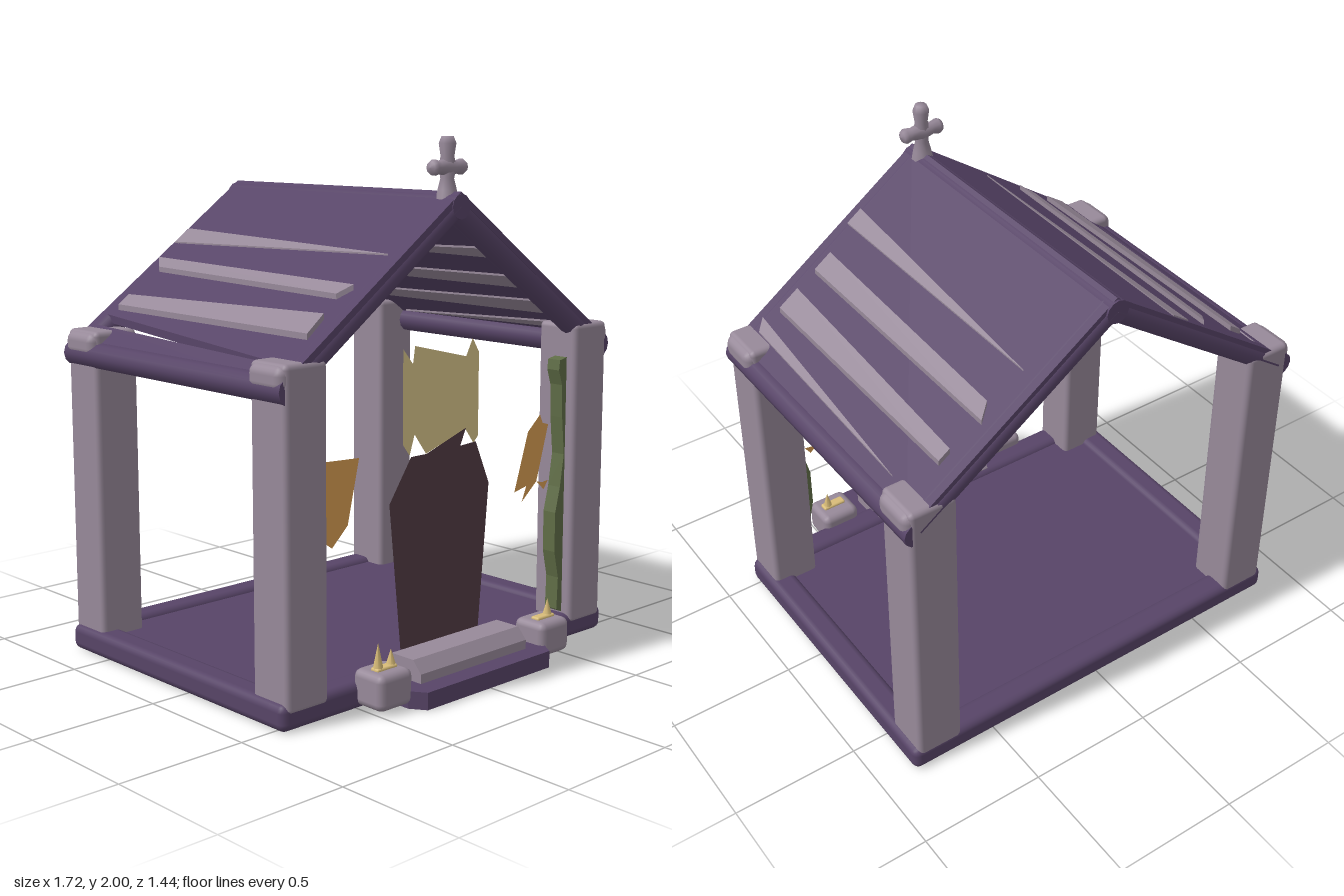
import * as THREE from 'three';
import { RoundedBoxGeometry } from 'three/addons/geometries/RoundedBoxGeometry.js';

const mat = (name, color, side = THREE.FrontSide) => {
  const m = new THREE.MeshStandardMaterial({ color, side });
  m.name = name;
  return m;
};

export function createModel() {
  const root = new THREE.Group();
  root.name = 'mausoleum';
  const purple = mat('purple timber', 0x574467);
  const mauve = mat('mauve stone', 0x978999);
  const brown = mat('dark coffin wood', 0x523b43, THREE.DoubleSide);
  const parchment = mat('parchment', 0xd9c48a, THREE.DoubleSide);
  const amber = mat('amber cloth', 0xd89d52, THREE.DoubleSide);
  const wax = mat('candle wax', 0xd8bc78);
  const moss = mat('moss green', 0x5f6c46);

  const add = (name, geo, material, x = 0, y = 0, z = 0) => {
    const m = new THREE.Mesh(geo, material);
    m.name = name;
    m.position.set(x, y, z);
    root.add(m);
    return m;
  };
  // Rounded box given by its min and max corners
  const block = (name, material, [x0, y0, z0], [x1, y1, z1], r = 0.02) =>
    add(name, new RoundedBoxGeometry(x1 - x0, y1 - y0, z1 - z0, 2, r), material,
      (x0 + x1) / 2, (y0 + y1) / 2, (z0 + z1) / 2);
  // Round bar between two points
  const bar = (name, a, b, r) => {
    const p = new THREE.Vector3(...a), q = new THREE.Vector3(...b);
    const m = add(name, new THREE.CylinderGeometry(r, r, p.distanceTo(q), 12), purple);
    m.position.copy(p).lerp(q, 0.5);
    m.quaternion.setFromUnitVectors(new THREE.Vector3(0, 1, 0), q.sub(p).normalize());
    return m;
  };
  const outline = (pts) => new THREE.Shape(pts.map(([x, y]) => new THREE.Vector2(x, y)));

  // Base: floor, rounded rim and front step
  block('floor', purple, [-0.84, 0, -0.7], [0.84, 0.08, 0.53], 0.005);
  for (const s of [-1, 1]) {
    const x = s * 0.805;
    block('sideRim', purple, [x - 0.055, 0, -0.72], [x + 0.055, 0.1, 0.55], 0.03);
  }
  block('backRim', purple, [-0.86, 0, -0.72], [0.86, 0.1, -0.61], 0.03);
  block('frontRim', purple, [-0.86, 0, 0.44], [0.86, 0.1, 0.55], 0.03);
  const stepShape = outline([[-0.37, -0.5], [0.37, -0.5], [0.37, -0.66], [0.33, -0.72], [-0.33, -0.72], [-0.37, -0.66]]);
  const step = add('frontStep', new THREE.ExtrudeGeometry(stepShape, { depth: 0.065, bevelEnabled: false }), purple);
  step.rotation.x = -Math.PI / 2;

  // Bevelled slab on the step
  const slabShape = outline([[0.46, 0.06], [0.64, 0.06], [0.64, 0.1], [0.6, 0.145], [0.49, 0.145], [0.46, 0.1]]);
  const slab = add('stepSlab', new THREE.ExtrudeGeometry(slabShape, { depth: 0.57, bevelEnabled: false }), mauve, 0.285, 0, 0);
  slab.rotation.y = -Math.PI / 2;

  // Corner pillars
  for (const s of [-1, 1]) for (const z of [0.46, -0.625]) {
    const x = s * 0.745;
    block('pillar', mauve, [x - 0.095, 0.06, z - 0.093], [x + 0.095, 1.27, z + 0.093]);
    block('pillarCap', mauve, [s * 0.81 - 0.05, 1.17, z - 0.09], [s * 0.81 + 0.05, 1.265, z + 0.09], 0.035);
  }

  // Roof surface height at x; sheets and planks follow it
  const roofY = (x) => 1.805 - 0.71 * Math.abs(x);
  const onRoof = (name, material, pts, lift, thick, hole) => {
    const shape = outline(pts.map(([x, z]) => [x, -z]));
    if (hole) shape.holes.push(new THREE.Path(hole.map(([x, z]) => new THREE.Vector2(x, -z))));
    const g = new THREE.ExtrudeGeometry(shape, { depth: thick, bevelEnabled: false });
    const p = g.attributes.position;
    for (let i = 0; i < p.count; i++) {
      const x = p.getX(i), y = p.getY(i), d = p.getZ(i);
      p.setXYZ(i, x, roofY(x) + lift - thick + d, -y);
    }
    g.computeVertexNormals();
    return add(name, g, material);
  };
  const gap = [[-0.775, 0.35], [-0.765, 0.35], [-0.69, -0.67], [-0.74, -0.67]];
  for (const s of [-1, 1]) {
    onRoof('roofSheet', purple, [[0, -0.71], [s * 0.85, -0.71], [s * 0.85, 0.545], [0, 0.545]], 0, 0.03, s < 0 ? gap : null);
    bar('eaveBeam', [s * 0.812, 1.178, -0.715], [s * 0.812, 1.178, 0.545], 0.05);
    for (const z of [0.503, -0.673]) bar('rafter', [0, 1.75, z], [s * 0.8, 1.75 - 0.71 * 0.8, z], 0.046);
  }
  bar('ridgeBeam', [0, 1.752, -0.718], [0, 1.752, 0.548], 0.046);

  // Pale planks showing through the roof, some of them raised
  const planks = [
    [0.022, [[-0.665, -0.63], [-0.615, -0.63], [-0.585, 0.46], [-0.67, 0.47]]],
    [0.02, [[-0.475, -0.62], [-0.43, -0.68], [-0.455, 0.47], [-0.5, 0.43]]],
    [0.006, [[-0.335, -0.7], [-0.265, -0.7], [-0.3, 0.48]]],
    [0.006, [[0.315, -0.62], [0.32, 0.51], [0.26, 0.51]]],
    [0.02, [[0.45, -0.6], [0.5, -0.64], [0.5, 0.46], [0.43, 0.46]]],
    [0.022, [[0.615, -0.62], [0.66, -0.62], [0.66, 0.46], [0.58, 0.46]]],
    [0.006, [[0.77, -0.5], [0.75, 0.47], [0.71, 0.51]]],
  ];
  for (const [lift, pts] of planks) onRoof('roofPlank', mauve, pts, lift, lift + 0.038);

  // Ridge cross: flared post and arms with a rounded centre
  const lathe = (pts) => new THREE.LatheGeometry(pts.map(([r, y]) => new THREE.Vector2(r, y)), 10);
  add('crossPost', lathe([[0.045, 1.76], [0.035, 1.81], [0.025, 1.85], [0.032, 1.89], [0.025, 1.93], [0.032, 1.975], [0.022, 2], [0, 2]]), mauve, 0, 0, 0.475);
  const arms = add('crossArms', lathe([[0, -0.09], [0.022, -0.085], [0.03, -0.07], [0.024, -0.045], [0.034, 0], [0.024, 0.045], [0.03, 0.07], [0.022, 0.085], [0, 0.09]]), mauve, 0, 1.89, 0.475);
  arms.rotation.z = Math.PI / 2;

  // Candle blocks and candles
  for (const s of [-1, 1]) {
    const x = s * 0.43;
    block('candleBlock', mauve, [x - 0.082, 0.015, 0.52], [x + 0.082, 0.15, 0.67], 0.028);
    block('waxPool', wax, [x - 0.05, 0.14, 0.58], [x + 0.05, 0.16, 0.62], 0.008);
  }
  for (const [x, top] of [[-0.46, 0.25], [-0.397, 0.215], [0.455, 0.22]])
    add('candle', new THREE.ConeGeometry(0.02, top - 0.15, 8), wax, x, (top + 0.15) / 2, 0.6);

  // Flat coffin, torn parchment and hanging cloths
  const panel = (name, material, pts, z = 0.46) => add(name, new THREE.ShapeGeometry(outline(pts)), material, 0, 0, z);
  panel('coffin', brown, [[-0.205, 0.08], [0.205, 0.08], [0.26, 0.69], [0.185, 0.86], [0.1, 0.855], [0.13, 0.92], [-0.08, 0.85], [-0.16, 0.85], [-0.27, 0.69]]);
  panel('parchment', parchment, [[-0.2, 1.25], [-0.15, 1.19], [-0.14, 1.255], [0.13, 1.19], [0.165, 1.255], [0.2, 1.2], [0.2, 0.88],
    [0.175, 0.855], [0.13, 0.915], [-0.08, 0.85], [-0.14, 0.93], [-0.165, 0.855], [-0.2, 0.9]], 0.457);
  panel('rightCloth', amber, [[-0.61, 0.895], [-0.42, 0.885], [-0.475, 0.65], [-0.55, 0.58], [-0.615, 0.625]]);
  panel('leftCloth', amber, [[0.485, 0.855], [0.555, 0.915], [0.572, 0.88], [0.605, 0.87], [0.54, 0.65], [0.455, 0.58], [0.48, 0.64], [0.41, 0.625]]);
  panel('clothScrap', amber, [[0.54, 0.65], [0.575, 0.64], [0.61, 0.645], [0.585, 0.61]]);

  // Moss growing up the inner face of the left front pillar
  const mossShape = outline([[0.66, 0.1], [0.62, 0.12], [0.625, 0.25], [0.6, 0.36], [0.6, 0.52], [0.625, 0.62], [0.645, 0.75],
    [0.63, 0.9], [0.625, 1.03], [0.605, 1.09], [0.61, 1.13], [0.66, 1.14]]);
  add('moss', new THREE.ExtrudeGeometry(mossShape, { depth: 0.06, bevelEnabled: false }), moss, 0, 0, 0.45);

  return root;
}
